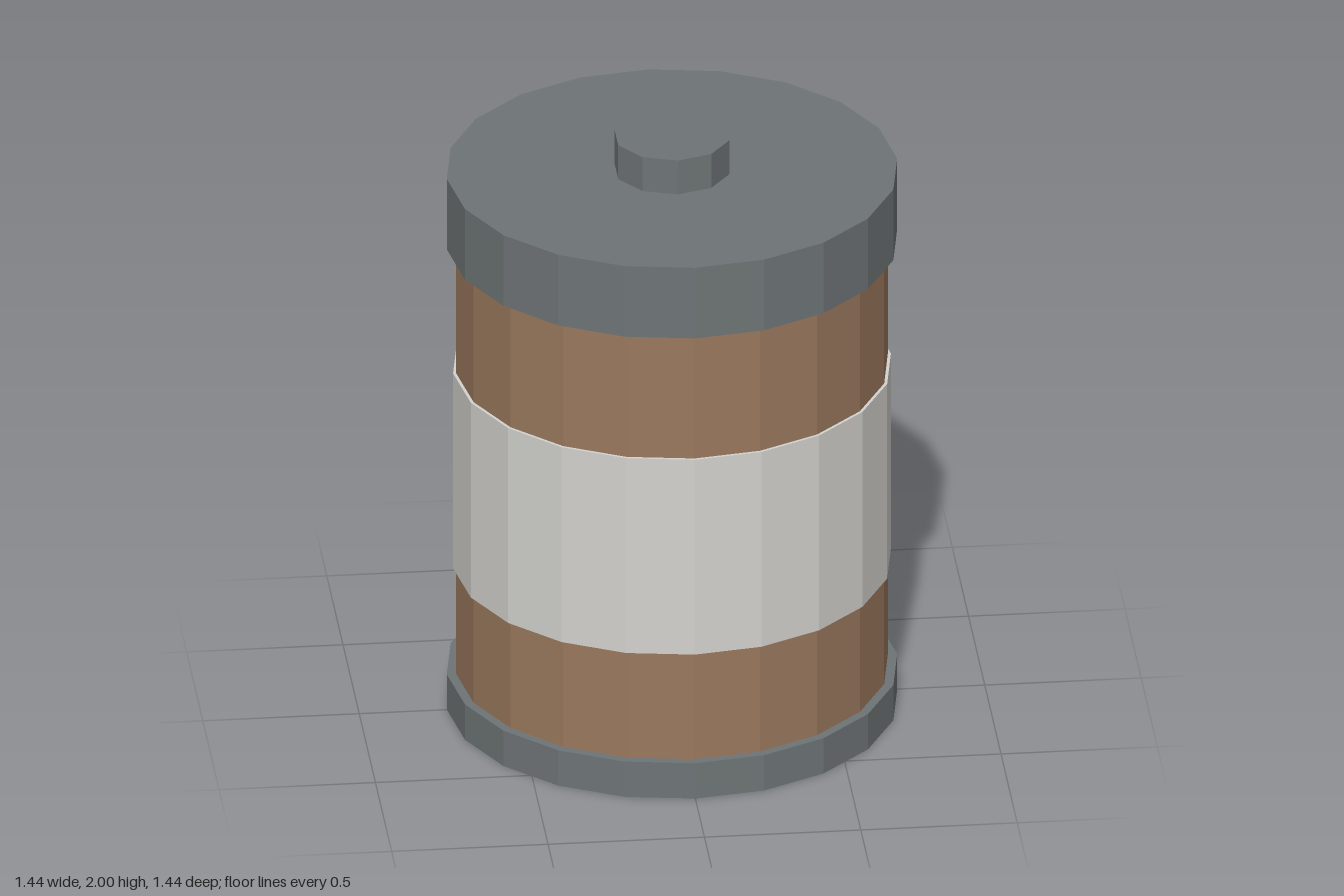
import * as THREE from 'three';

const SIDES = 20;
const BODY_RADIUS = 0.69;

function makeMaterial(name, color) {
  const m = new THREE.MeshStandardMaterial({ color, flatShading: true });
  m.name = name;
  return m;
}

export function createModel() {
  const group = new THREE.Group();
  group.name = 'battery';

  const darkGrey = makeMaterial('dark grey metal', 0x6e7476);
  const brown = makeMaterial('copper brown', 0x9a785d);
  const paleGrey = makeMaterial('pale grey label', 0xd3d2cd);

  function add(name, geometry, material) {
    const mesh = new THREE.Mesh(geometry, material);
    mesh.name = name;
    group.add(mesh);
  }

  // Solid faceted cylinder between two heights
  function cylinder(name, radius, y0, y1, sides, material) {
    const g = new THREE.CylinderGeometry(radius, radius, y1 - y0, sides);
    add(name, g.translate(0, (y0 + y1) / 2, 0), material);
  }

  // Faceted sleeve fitted around the body
  function sleeve(name, radius, y0, y1, material) {
    const profile = [
      [BODY_RADIUS, y0], [radius, y0], [radius, y1], [BODY_RADIUS, y1],
    ].map(([x, y]) => new THREE.Vector2(x, y));
    add(name, new THREE.LatheGeometry(profile, SIDES), material);
  }

  // Body runs down to the ground, so its underside shows inside the base rim
  cylinder('body', BODY_RADIUS, 0, 1.64, SIDES, brown);
  sleeve('baseRim', 0.72, 0, 0.125, darkGrey);
  sleeve('labelBand', 0.7, 0.5, 1.19, paleGrey);

  // Top cap and its terminal
  cylinder('topCap', 0.72, 1.63, 1.88, SIDES, darkGrey);
  cylinder('terminal', 0.187, 1.88, 2, 10, darkGrey);

  return group;
}
